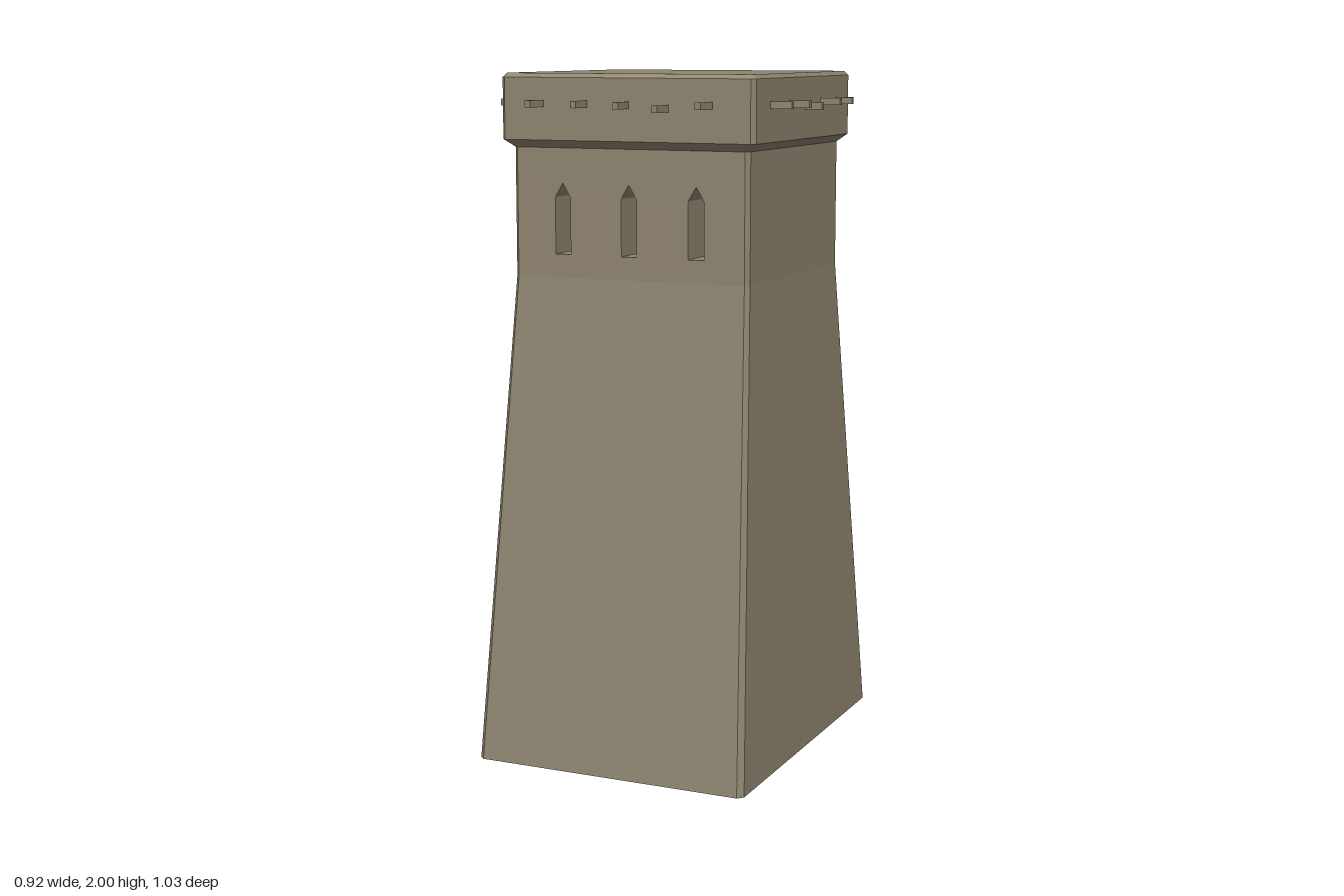
import * as THREE from 'three';

// Chamfered rectangle in plan, counter-clockwise seen from below
function ring(hx, hz, c, y) {
  return [
    [hx - c, y, hz], [hx, y, hz - c], [hx, y, -hz + c], [hx - c, y, -hz],
    [-hx + c, y, -hz], [-hx, y, -hz + c], [-hx, y, hz - c], [-hx + c, y, hz],
  ];
}

// Flat-shaded skin through stacked rings, with optional end caps
function loft(rings, capBottom, capTop) {
  const pos = [];
  const tri = (a, b, c) => pos.push(...a, ...b, ...c);
  const n = rings[0].length;
  for (let r = 0; r < rings.length - 1; r++) {
    for (let i = 0; i < n; i++) {
      const j = (i + 1) % n, lo = rings[r], hi = rings[r + 1];
      tri(lo[i], lo[j], hi[j]);
      tri(lo[i], hi[j], hi[i]);
    }
  }
  const first = rings[0], last = rings[rings.length - 1];
  for (let i = 1; i < n - 1; i++) {
    if (capBottom) tri(first[0], first[i + 1], first[i]);
    if (capTop) tri(last[0], last[i], last[i + 1]);
  }
  const g = new THREE.BufferGeometry();
  g.setAttribute('position', new THREE.Float32BufferAttribute(pos, 3));
  g.computeVertexNormals();
  return g;
}

export function createModel() {
  const model = new THREE.Group();
  model.name = 'tower';
  const clay = new THREE.MeshStandardMaterial({ color: 0x8f8570, side: THREE.DoubleSide });
  clay.name = 'mud brick';

  const cx = 0.004;
  const hx = 0.365, hz = 0.354, bend = 1.42, neck = 1.79, c = 0.012;

  const add = (name, geometry, parent = model) => {
    const mesh = new THREE.Mesh(geometry, clay);
    mesh.name = name;
    parent.add(mesh);
    return mesh;
  };

  // Tapering lower shaft, hollow and open underneath
  add('lowerShaft', loft([ring(0.421, 0.517, 0.016, 0), ring(hx, hz, c, bend)])).position.x = cx;

  // Upper shaft with pointed windows running from front to back
  const w = hx - c;
  const wall = new THREE.Shape([[-w, bend], [w, bend], [w, neck], [-w, neck]].map(p => new THREE.Vector2(...p)));
  for (const x of [-0.208, 0, 0.207]) {
    const outline = [[-0.024, 1.487], [-0.024, 1.65], [0, 1.69], [0.024, 1.65], [0.024, 1.487]];
    wall.holes.push(new THREE.Path(outline.map(([px, py]) => new THREE.Vector2(x + px, py))));
  }
  const upper = new THREE.ExtrudeGeometry(wall, { depth: 2 * hz, bevelEnabled: false });
  upper.translate(cx, 0, -hz);
  add('upperShaft', upper);

  // Side walls of the upper shaft, with chamfered corners
  for (const s of [1, -1]) {
    const slab = y => [[w, y, hz], [hx, y, hz - c], [hx, y, -hz + c], [w, y, -hz]];
    const side = add(s > 0 ? 'leftWall' : 'rightWall', loft([slab(bend), slab(neck)]));
    side.rotation.y = s > 0 ? 0 : Math.PI;
    side.position.x = cx;
  }

  // Overhanging parapet block with softened edges
  add('parapet', loft([
    ring(hx, hz, c, 1.79),
    ring(0.391, 0.379, c, 1.812),
    ring(0.391, 0.379, c, 1.988),
    ring(0.381, 0.369, c, 2),
  ], true, true)).position.x = cx;

  // Projecting beam ends: [position along wall, reach, height, skew along wall]
  const beams = {
    front: [[-0.26, 0.448, 1.915, -0.1], [-0.122, 0.448, 1.915, 0], [0.008, 0.448, 1.913, 0], [0.129, 0.448, 1.905, -0.04], [0.26, 0.448, 1.915, -0.08]],
    back: [[-0.262, 0.443, 1.914, -0.08], [-0.132, 0.456, 1.912, 0.08], [-0.011, 0.443, 1.915, 0], [0.118, 0.456, 1.91, 0], [0.261, 0.456, 1.915, 0.12]],
    right: [[-0.266, 0.459, 1.915, -0.09], [-0.125, 0.459, 1.914, 0], [0.005, 0.448, 1.91, 0], [0.126, 0.459, 1.915, 0.03], [0.257, 0.448, 1.914, 0.06]],
    left: [[-0.266, 0.445, 1.914, -0.07], [-0.136, 0.457, 1.915, 0.04], [-0.016, 0.445, 1.905, 0], [0.115, 0.457, 1.914, 0], [0.256, 0.457, 1.915, -0.06]],
  };
  const outward = { front: [0, 1], back: [0, -1], right: [-1, 0], left: [1, 0] };
  for (const [wallName, list] of Object.entries(beams)) {
    const [ox, oz] = outward[wallName];
    const group = new THREE.Group();
    group.name = wallName + 'Beams';
    model.add(group);
    for (const [along, reach, y, skew] of list) {
      const length = 0.11, mid = reach - length / 2;
      const beam = add('beam', new THREE.BoxGeometry(0.018, 0.02, length), group);
      beam.position.set(ox ? ox * mid : along, y, oz ? oz * mid : along);
      beam.rotation.y = Math.atan2(ox + (oz ? skew : 0), oz + (ox ? skew : 0));
    }
  }
  return model;
}
